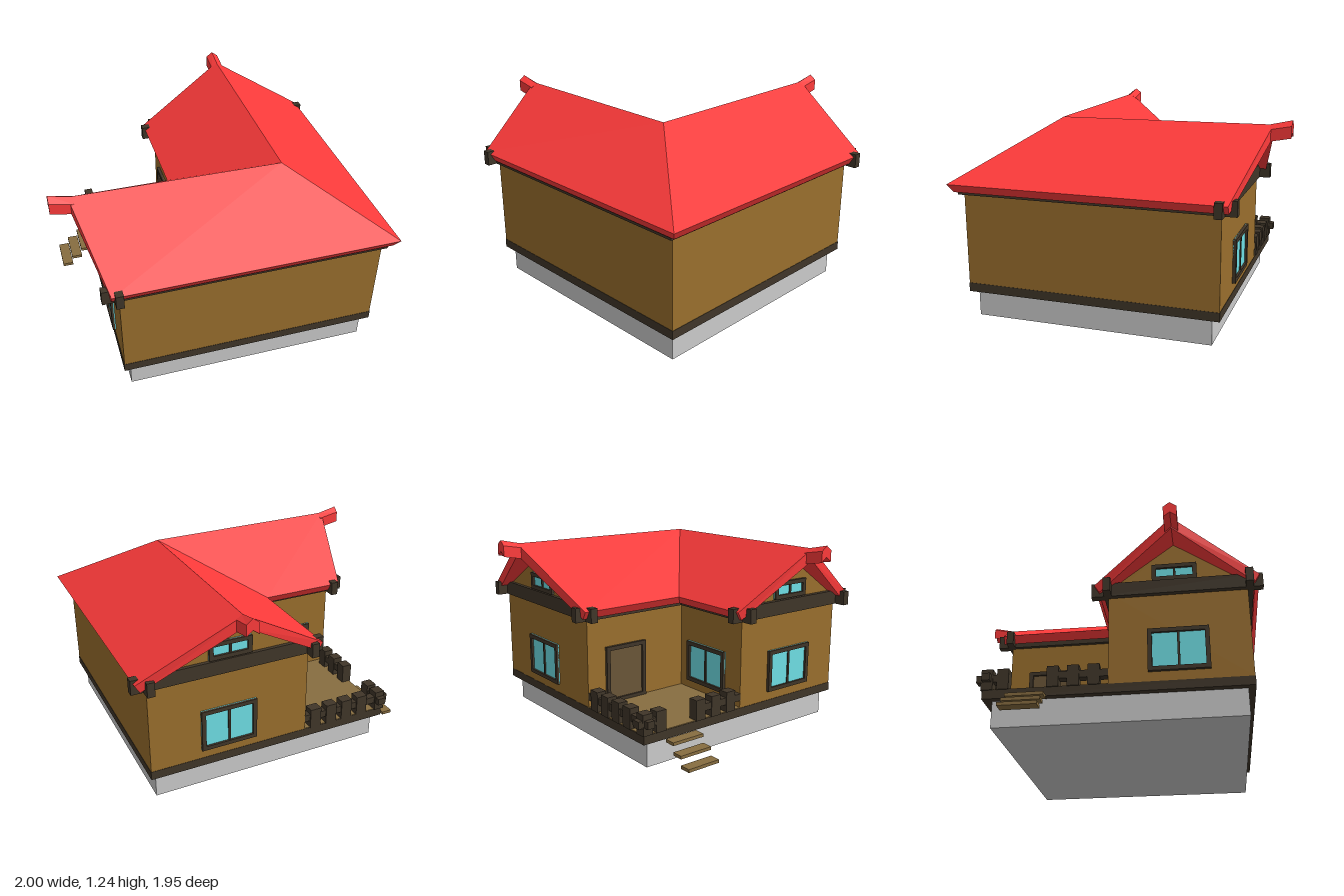
import * as THREE from 'three';

const mat = (color, extra = {}) => new THREE.MeshStandardMaterial({ color, ...extra });
const MAT = {
  stone: mat(0xcccccc),
  wall: mat(0x9a6f2d),
  beam: mat(0x403629),
  floor: mat(0x876d40),
  roof: mat(0xff3b3b, { flatShading: true }),
  glass: mat(0x6fe0e6),
  door: mat(0x6b5638),
};

function add(parent, name, geometry, material) {
  const mesh = new THREE.Mesh(geometry, material);
  mesh.name = name;
  parent.add(mesh);
  return mesh;
}

// Box given by its extents on each axis
function box(parent, name, material, [x0, x1], [y0, y1], [z0, z1]) {
  const mesh = add(parent, name, new THREE.BoxGeometry(x1 - x0, y1 - y0, z1 - z0), material);
  mesh.position.set((x0 + x1) / 2, (y0 + y1) / 2, (z0 + z1) / 2);
  return mesh;
}

// Solid between an upper and a lower quad, both counter-clockwise from above
function slab(top, bottom) {
  const pos = [];
  const quad = (a, b, c, d) => pos.push(...a, ...b, ...c, ...a, ...c, ...d);
  quad(...top);
  quad(bottom[3], bottom[2], bottom[1], bottom[0]);
  for (let i = 0; i < 4; i++) {
    const j = (i + 1) % 4;
    quad(bottom[i], bottom[j], top[j], top[i]);
  }
  const geo = new THREE.BufferGeometry();
  geo.setAttribute('position', new THREE.Float32BufferAttribute(pos, 3));
  geo.computeVertexNormals();
  return geo;
}

const polygon = (pts) => new THREE.Shape(pts.map(([x, y]) => new THREE.Vector2(x, y)));

// Framed opening facing +z, centred on its own origin
function opening(name, w, h, fill, mullion) {
  const g = new THREE.Group();
  g.name = name;
  const t = 0.026, d = [-0.01, 0.02];
  box(g, 'pane', fill, [-w / 2, w / 2], [-h / 2, h / 2], [-0.01, 0.006]);
  for (const s of [-1, 1]) {
    const x = s * (w - t) / 2, y = s * (h - t) / 2;
    box(g, 'frameSide', MAT.beam, [x - t / 2, x + t / 2], [-h / 2, h / 2], d);
    box(g, 'frameRail', MAT.beam, [-w / 2, w / 2], [y - t / 2, y + t / 2], d);
  }
  if (mullion) box(g, 'mullion', MAT.beam, [-0.007, 0.007], [-h / 2, h / 2], [-0.01, 0.014]);
  return g;
}

function buildRoof() {
  const roof = new THREE.Group();
  roof.name = 'roof';
  // Each corner: upper point, lower point
  const eave = (x, z, dx, dz) => [[x, 0.85, z], [x + dx, 0.80, z + dz]];
  const ridge = (x, y, z) => [[x, y, z], [x, y - 0.075, z]];
  const frontLeft = eave(-0.76, 0.95, 0, -0.03);
  const frontRight = eave(0.98, 0.95, -0.03, -0.03);
  const backRight = eave(0.98, -0.74, -0.03, 0);
  const backLeft = eave(-0.2, -0.74, 0.03, 0);
  const valley = eave(-0.2, -0.03, 0.03, 0.03);
  const sideBack = eave(-0.76, -0.03, 0, 0.03);
  const peak = ridge(0.39, 1.195, 0.45);
  const sidePeak = ridge(-0.89, 1.205, 0.45);
  const backPeak = ridge(0.39, 1.205, -0.87);
  const slopes = {
    frontSlope: [frontLeft, frontRight, peak, sidePeak],
    rightSlope: [frontRight, backRight, backPeak, peak],
    sideWingBackSlope: [valley, sideBack, sidePeak, peak],
    backWingInnerSlope: [backLeft, valley, peak, backPeak],
  };
  for (const [name, c] of Object.entries(slopes)) {
    add(roof, name, slab(c.map((p) => p[0]), c.map((p) => p[1])), MAT.roof);
  }
  // Upturned ridge tips: two mirrored halves, built pointing along -z
  const tip = (name) => {
    const g = new THREE.Group();
    g.name = name;
    for (const s of [-1, 1]) {
      const top = [[0, 1.203, 0.03], [s * 0.04, 1.178, 0.03], [s * 0.04, 1.205, -0.11], [0, 1.235, -0.11]];
      if (s < 0) top.reverse();
      add(g, 'tipHalf', slab(top, top.map(([x, y, z]) => [x, y - 0.07, z])), MAT.roof);
    }
    roof.add(g);
    return g;
  };
  tip('backRidgeTip').position.set(0.39, 0, -0.87);
  const side = tip('sideRidgeTip');
  side.position.set(-0.89, 0, 0.45);
  side.rotation.y = Math.PI / 2;
  return roof;
}

function buildRailing() {
  const g = new THREE.Group();
  g.name = 'railing';
  const railY = [0.27, 0.315];
  box(g, 'backRail', MAT.beam, [-0.75, -0.13], railY, [-0.69, -0.64]);
  box(g, 'sideRail', MAT.beam, [-0.715, -0.66], railY, [-0.73, -0.54]);
  box(g, 'sideRail', MAT.beam, [-0.715, -0.66], railY, [-0.31, 0.05]);
  const post = (x, z, w, d) =>
    box(g, 'post', MAT.beam, [x - w / 2, x + w / 2], [0.22, 0.35], [z - d / 2, z + d / 2]);
  for (let i = 0; i < 4; i++) post(-0.55 + i * 0.115, -0.665, 0.075, 0.065);
  for (const z of [-0.665, -0.57, -0.275, -0.155, -0.035]) post(-0.687, z, 0.065, 0.07);
  return g;
}

export function createModel() {
  const model = new THREE.Group();
  model.name = 'house';

  // Foundation, sill and porch floor
  box(model, 'foundation', MAT.stone, [-0.67, 0.86], [0, 0.165], [-0.64, 0.84]);
  box(model, 'sill', MAT.beam, [-0.713, 0.902], [0.165, 0.22], [-0.692, 0.882]);
  box(model, 'porchFloor', MAT.floor, [-0.71, -0.13], [0.21, 0.224], [-0.69, 0.05]);

  // L-shaped walls
  const plan = polygon([[-0.71, -0.88], [0.9, -0.88], [0.9, 0.69], [-0.13, 0.69], [-0.13, -0.05], [-0.71, -0.05]]);
  const walls = new THREE.ExtrudeGeometry(plan, { depth: 0.6, bevelEnabled: false });
  walls.rotateX(-Math.PI / 2).translate(0, 0.22, 0);
  add(model, 'walls', walls, MAT.wall);

  // Gable walls under the two open roof ends
  const gable = (a, peak, b, top) => new THREE.ExtrudeGeometry(
    polygon([[a, 0.78], [b, 0.78], [b, 0.83], [peak, top], [a, 0.83]]), { depth: 0.3, bevelEnabled: false });
  add(model, 'backGable', gable(-0.13, 0.39, 0.9, 1.14).translate(0, 0, -0.69), MAT.wall);
  add(model, 'sideGable', gable(0.05, 0.45, 0.88, 1.14).rotateY(-Math.PI / 2).translate(-0.41, 0, 0), MAT.wall);

  // Crossing eave beams with projecting ends
  const y = [0.78, 0.87], t = 0.023;
  for (const [z, x0, x1] of [[0.05, -0.81, -0.11], [0.89, -0.81, 0.92], [-0.69, -0.22, 0.995]]) {
    box(model, 'crossBeam', MAT.beam, [x0, x1], y, [z - t, z + t]);
  }
  for (const [x, z0, z1] of [[-0.717, -0.05, 0.97], [-0.13, -0.78, 0.07], [0.9, -0.78, 0.91]]) {
    box(model, 'longBeam', MAT.beam, [x - t, x + t], y, [z0, z1]);
  }

  // Windows and door
  const place = (o, x, yy, z, turn) => {
    o.position.set(x, yy, z);
    o.rotation.y = turn;
    model.add(o);
  };
  const toBack = Math.PI, toSide = -Math.PI / 2;
  const win = (name) => opening(name, 0.36, 0.27, MAT.glass, true);
  const attic = (name) => opening(name, 0.27, 0.11, MAT.glass, true);
  place(win('backWindow'), 0.4, 0.415, -0.69, toBack);
  place(win('porchWindow'), -0.39, 0.415, 0.05, toBack);
  place(win('sideWindow'), -0.71, 0.415, 0.46, toSide);
  place(attic('backAtticWindow'), 0.39, 0.93, -0.69, toBack);
  place(attic('sideAtticWindow'), -0.71, 0.93, 0.45, toSide);
  place(opening('door', 0.3, 0.37, MAT.door, false), -0.13, 0.405, -0.41, toSide);

  // Floating steps up to the porch
  [[-0.925, 0.03], [-0.855, 0.087], [-0.785, 0.145]].forEach(([x, h]) =>
    box(model, 'step', MAT.floor, [x, x + 0.07], [h, h + 0.02], [-0.535, -0.31]));

  model.add(buildRailing(), buildRoof());
  return model;
}
